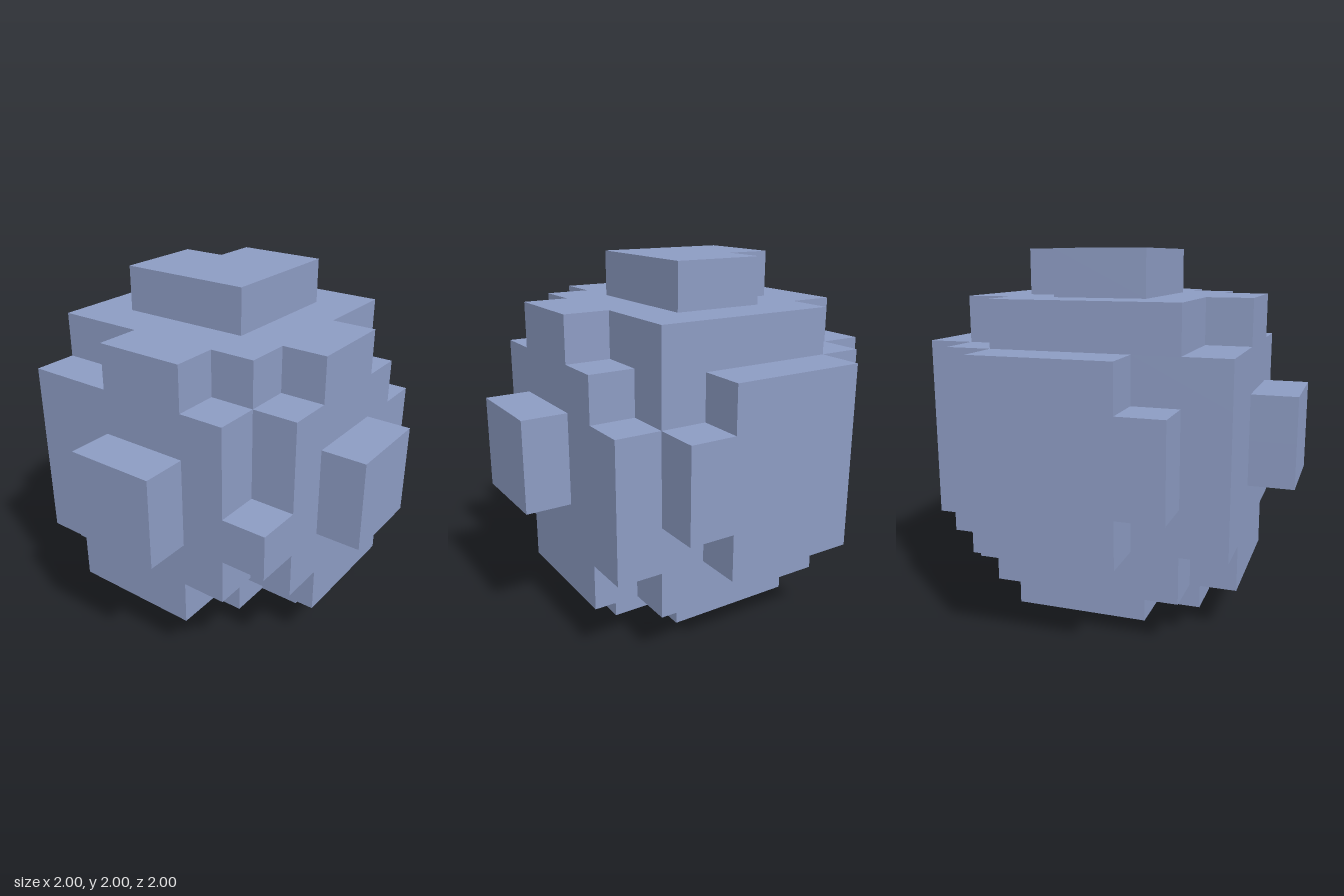
import * as THREE from 'three';

const CELL = 0.25;

// Each layer, bottom to top: first row (counted from the back), then
// the [start, end] cell edges along x for each following row.
const LAYERS = [
  { name: 'base', first: 2, rows: [[2, 5], [2, 6], [2, 5], [3, 4]] },
  { name: 'lowerBody', first: 1, rows: [[2, 6], [1, 7], [1, 7], [1, 7], [1, 5], [2, 5]] },
  { name: 'lowerMiddle', first: 0, rows: [[2, 5], [1, 7], [0, 7], [0, 7], [0, 7], [1, 7], [1, 6]] },
  { name: 'middleLower', first: 0, rows: [[2, 6], [1, 7], [0, 7], [0, 8], [0, 8], [0, 7], [1, 7], [3, 5]] },
  { name: 'middleUpper', first: 0, rows: [[2, 6], [1, 7], [0, 7], [0, 8], [0, 8], [0, 7], [1, 6], [3, 5]] },
  { name: 'upperMiddle', first: 0, rows: [[2, 5], [1, 6], [0, 7], [0, 7], [0, 7], [1, 7], [1, 6]] },
  { name: 'upperBody', first: 1, rows: [[2, 6], [1, 6], [1, 7], [1, 7], [1, 6], [3, 5]] },
  { name: 'cap', first: 2, rows: [[3, 5], [2, 5], [2, 5]] },
];

// Stepped outline of a layer, walking down the right side and back up the left
function layerShape({ first, rows }) {
  const side = (edge) => {
    const points = [];
    rows.forEach((row, r) => {
      const x = row[edge];
      if (r === 0) points.push([x, first]);
      else if (x !== rows[r - 1][edge]) points.push([rows[r - 1][edge], first + r], [x, first + r]);
    });
    points.push([rows[rows.length - 1][edge], first + rows.length]);
    return points;
  };
  const outline = [...side(1), ...side(0).reverse()];
  return new THREE.Shape(outline.map(([x, z]) => new THREE.Vector2(x * CELL - 1, z * CELL - 1)));
}

export function createModel() {
  const model = new THREE.Group();
  model.name = 'blockBall';
  const stone = new THREE.MeshStandardMaterial({ color: 0x8c9bc2 });
  stone.name = 'blue grey';

  // Stack the layers; each slab hangs down from its top plane
  LAYERS.forEach((layer, j) => {
    const geometry = new THREE.ExtrudeGeometry(layerShape(layer), { depth: CELL, bevelEnabled: false });
    geometry.rotateX(Math.PI / 2);
    const mesh = new THREE.Mesh(geometry, stone);
    mesh.name = layer.name;
    mesh.position.y = (j + 1) * CELL;
    model.add(mesh);
  });
  return model;
}
